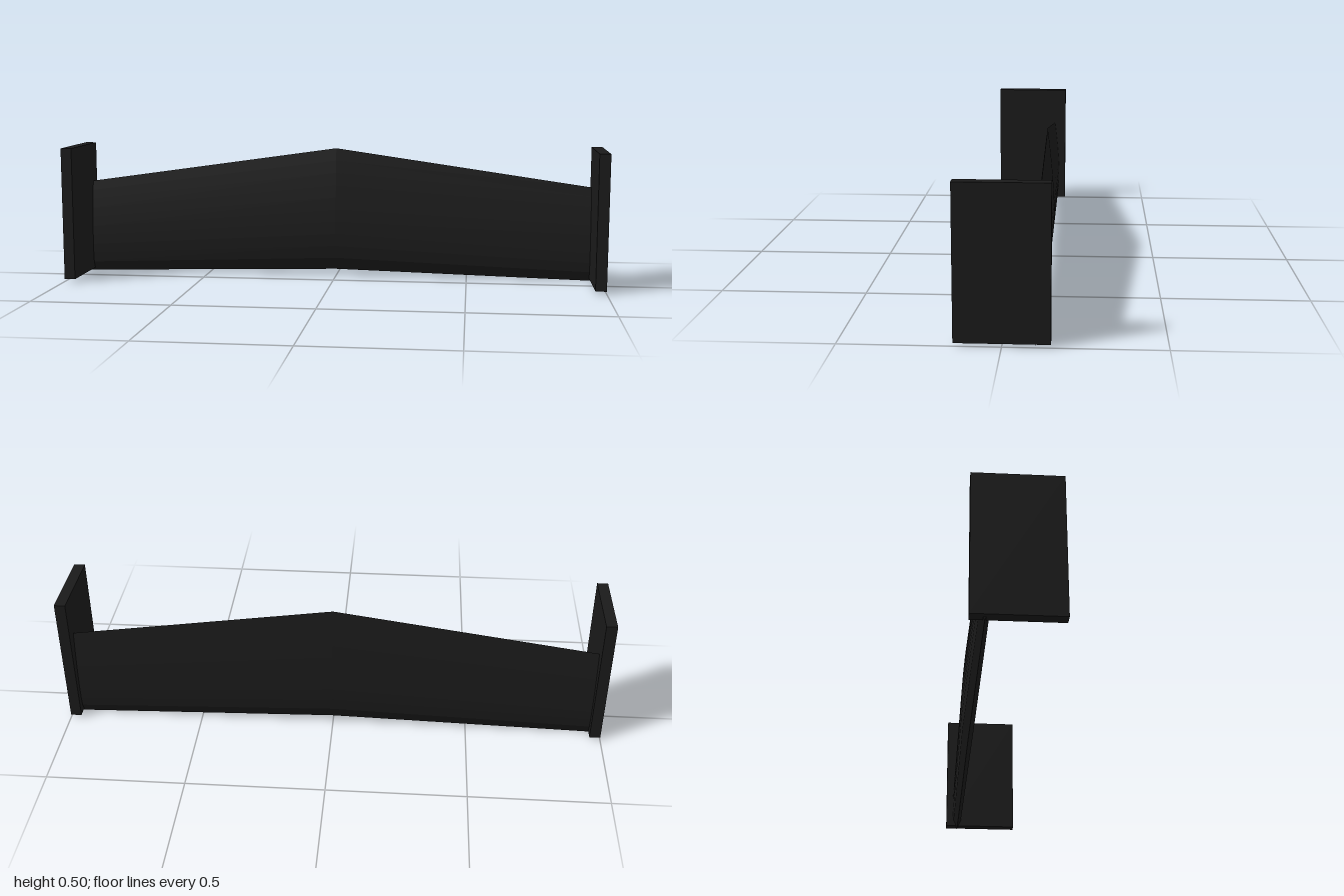
import * as THREE from 'three';

const material = new THREE.MeshStandardMaterial({ color: 0x1a1a1a, flatShading: true, side: THREE.DoubleSide });

// Half thickness of a symmetric airfoil at chord fraction t, per unit chord
const halfThickness = (t) =>
  5 * 0.115 * (0.2969 * Math.sqrt(t) - 0.126 * t - 0.3516 * t ** 2 + 0.2843 * t ** 3 - 0.1036 * t ** 4);

// Upright airfoil lofted through stations; nose at the bottom, sharp edge at the top
function wingGeometry(stations, z, steps) {
  const ring = steps * 2;
  const positions = [];
  const index = [];
  for (const { x, bottom, top } of stations) {
    const chord = top - bottom;
    for (let k = 0; k < ring; k++) {
      const t = (k <= steps ? k : ring - k) / steps;
      const side = k <= steps ? 1 : -1;
      positions.push(x, bottom + t * chord, z + side * halfThickness(t) * chord);
    }
  }
  for (let s = 0; s < stations.length - 1; s++) {
    for (let k = 0; k < ring; k++) {
      const a = s * ring + k;
      const d = s * ring + (k + 1) % ring;
      index.push(a, a + ring, d + ring, a, d + ring, d);
    }
  }
  // End caps
  const last = (stations.length - 1) * ring;
  for (let k = 1; k < ring - 1; k++) {
    index.push(0, k, k + 1, last, last + k + 1, last + k);
  }
  const geometry = new THREE.BufferGeometry();
  geometry.setAttribute('position', new THREE.Float32BufferAttribute(positions, 3));
  geometry.setIndex(index);
  geometry.computeVertexNormals();
  return geometry;
}

export function createModel() {
  const model = new THREE.Group();
  model.name = 'wing';

  // Tapered blade, deepest in the middle
  const blade = new THREE.Mesh(
    wingGeometry(
      [
        { x: -0.98, bottom: 0, top: 0.352 },
        { x: 0, bottom: 0.025, top: 0.492 },
        { x: 0.98, bottom: 0, top: 0.352 },
      ],
      -0.1,
      10
    ),
    material
  );
  blade.name = 'blade';
  model.add(blade);

  // Flat plates closing both ends
  for (const [name, side] of [['leftEndPlate', 1], ['rightEndPlate', -1]]) {
    const plate = new THREE.Mesh(new THREE.BoxGeometry(0.04, 0.492, 0.294), material);
    plate.name = name;
    plate.position.set(side * 0.98, 0.256, 0);
    model.add(plate);
  }
  return model;
}
